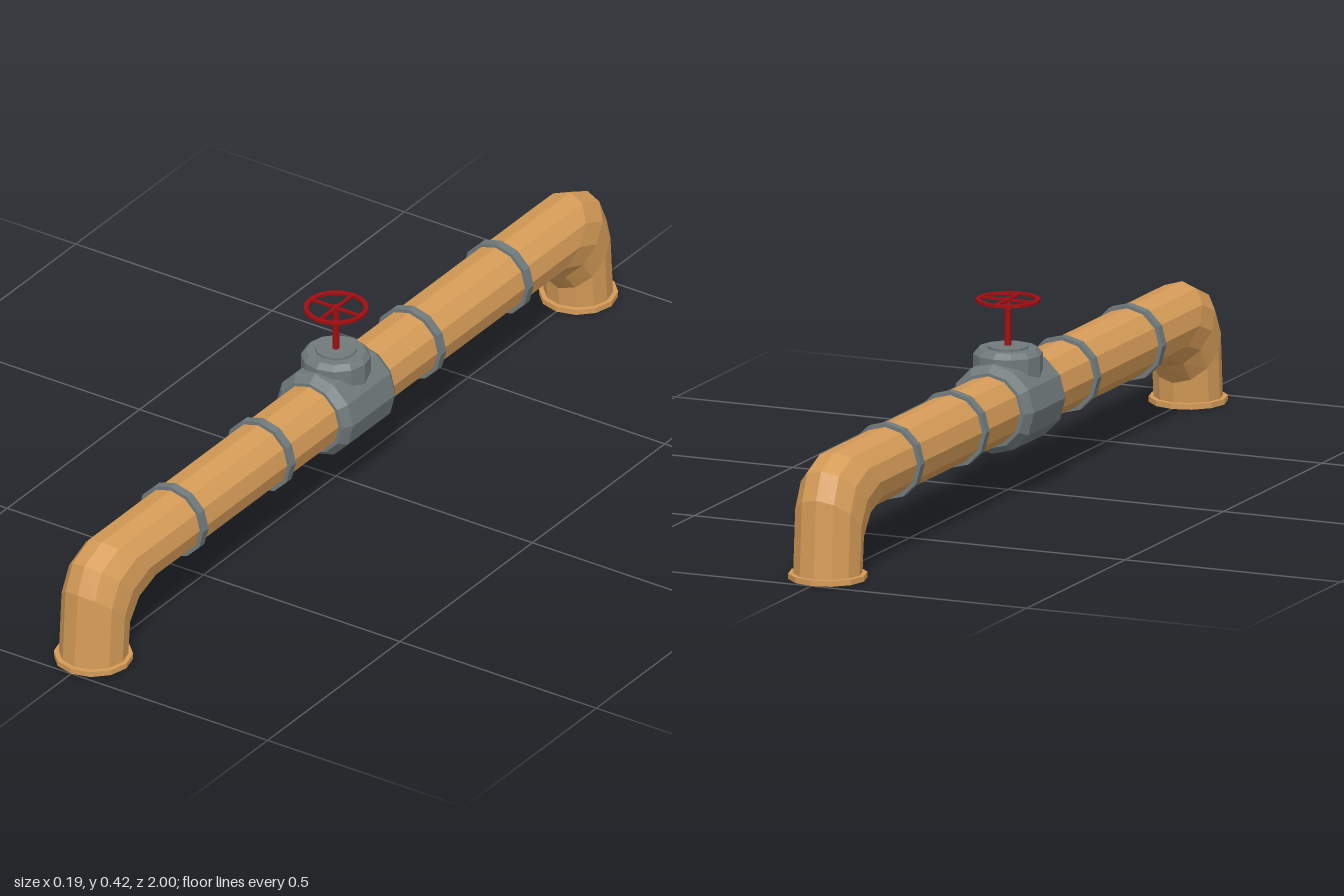
import * as THREE from 'three';

const SIDES = 12;
const AXIS = 0.191; // height of the pipe's centre line

const flat = (color, name, side = THREE.FrontSide) => {
  const m = new THREE.MeshStandardMaterial({ color, flatShading: true, side });
  m.name = name;
  return m;
};

// Skin through rings; each ring is given by its outer and inner [z, y] points and half width.
function loft(rings) {
  const pos = [];
  const point = ([oz, oy, iz, iy, r], i) => {
    const t = (i / SIDES) * Math.PI * 2, c = Math.cos(t) / 2;
    return [r * Math.sin(t), (oy + iy) / 2 + (oy - iy) * c, (oz + iz) / 2 + (oz - iz) * c];
  };
  for (let j = 0; j < rings.length - 1; j++) {
    for (let i = 0; i < SIDES; i++) {
      const a = point(rings[j], i), b = point(rings[j], i + 1);
      const c = point(rings[j + 1], i), d = point(rings[j + 1], i + 1);
      pos.push(...a, ...b, ...c, ...b, ...d, ...c);
    }
  }
  const g = new THREE.BufferGeometry();
  g.setAttribute('position', new THREE.Float32BufferAttribute(pos, 3));
  g.computeVertexNormals();
  return g;
}

const lathe = (profile, sides = SIDES) =>
  new THREE.LatheGeometry(profile.map(([r, y]) => new THREE.Vector2(r, y)), sides);

export function createModel() {
  const model = new THREE.Group();
  model.name = 'pipeWithValve';
  const copper = flat(0xd69c58, 'copper', THREE.DoubleSide);
  const steel = flat(0x707a7b, 'steel');
  const red = flat(0xa00d12, 'red');

  const add = (name, geometry, material, x = 0, y = 0, z = 0) => {
    const mesh = new THREE.Mesh(geometry, material);
    mesh.name = name;
    mesh.position.set(x, y, z);
    model.add(mesh);
    return mesh;
  };

  // Pipe with a mitred elbow at each end, open at the bottom
  const half = [
    [0.988, 0.005, 0.844, 0.005, 0.074],
    [0.976, 0.18, 0.838, 0.055, 0.074],
    [0.95, 0.238, 0.8, 0.097, 0.074],
    [0.885, 0.266, 0.738, 0.117, 0.074],
  ];
  const back = half.map(([oz, oy, iz, iy, r]) => [-oz, oy, -iz, iy, r]).reverse();
  add('pipe', loft([...half, ...back]), copper);

  for (const s of [1, -1]) {
    // Rim around each open end
    const rim = lathe([[0.073, 0], [0.084, 0], [0.084, 0.012], [0.073, 0.012], [0.073, 0]]);
    add('endRim', rim, copper, 0, 0, s * 0.916);
    // Clamping bands
    for (const z of [0.284, 0.614]) {
      const band = new THREE.CylinderGeometry(0.083, 0.083, 0.02, SIDES).rotateX(Math.PI / 2);
      add('band', band, steel, 0, AXIS, s * z);
    }
  }

  // Valve body with chamfered ends
  const body = lathe([[0, -0.1], [0.082, -0.1], [0.097, -0.08], [0.097, 0.08], [0.082, 0.1], [0, 0.1]]);
  add('valveBody', body.rotateX(Math.PI / 2), steel, 0, AXIS, 0);

  // Bonnet and its cap
  add('bonnet', lathe([[0, 0.19], [0.074, 0.19], [0.074, 0.296], [0.063, 0.308], [0, 0.308]]), steel);
  add('bonnetCap', new THREE.CylinderGeometry(0.044, 0.044, 0.008, SIDES), steel, 0, 0.309, 0);

  // Stem
  add('stem', new THREE.CylinderGeometry(0.0075, 0.0075, 0.112, 8), red, 0, 0.36, 0);

  // Hand wheel: flat ring and crossed spokes
  const ring = lathe([[0.059, -0.003], [0.069, -0.003], [0.069, 0.003], [0.059, 0.003], [0.059, -0.003]], 16);
  add('wheelRing', ring, red, 0, 0.411, 0);
  for (const angle of [0, Math.PI / 2]) {
    add('wheelSpoke', new THREE.BoxGeometry(0.124, 0.005, 0.007), red, 0, 0.411, 0).rotation.y = angle;
  }

  return model;
}
